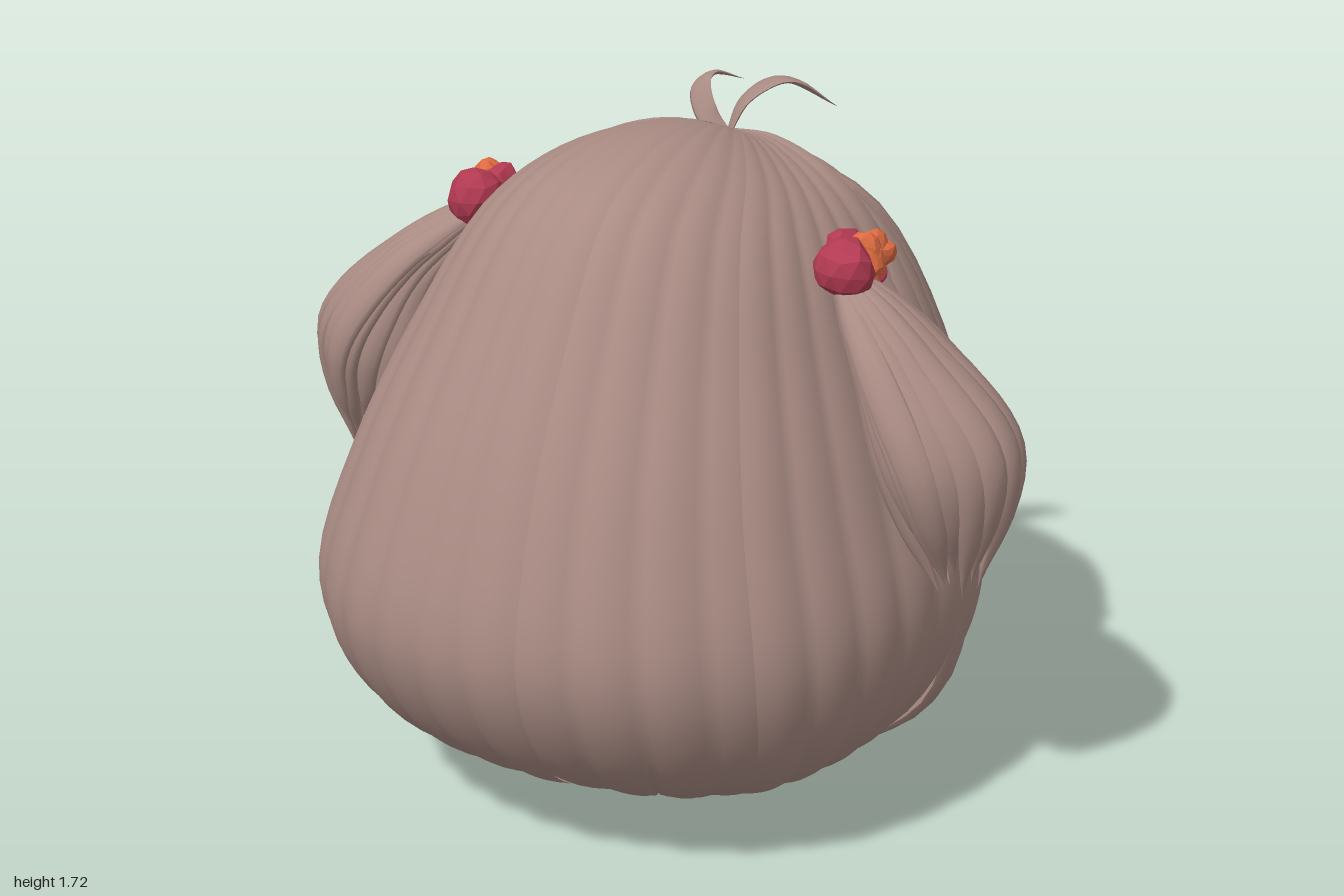
import * as THREE from 'three';

const V = (x, y, z) => new THREE.Vector3(x, y, z);
const curve = pts => new THREE.CatmullRomCurve3(pts.map(p => V(...p)));

// Grid surface from a rule p(u, v)
function sheet(rule, nu, nv) {
  const pos = [], idx = [];
  for (let i = 0; i <= nu; i++) for (let j = 0; j <= nv; j++) pos.push(...rule(i / nu, j / nv).toArray());
  for (let i = 0; i < nu; i++) for (let j = 0; j < nv; j++) {
    const a = i * (nv + 1) + j, b = a + nv + 1;
    idx.push(a, a + 1, b, b, a + 1, b + 1);
  }
  const g = new THREE.BufferGeometry();
  g.setAttribute('position', new THREE.Float32BufferAttribute(pos, 3));
  g.setIndex(idx);
  g.computeVertexNormals();
  return g;
}

// Tapered flat lock of hair along a path, facing away from a centre point
function strand(points, widths, thick, centre) {
  const c = curve(points), n = widths.length - 1;
  return sheet((u, v) => {
    const p = c.getPoint(u), t = c.getTangent(u);
    const k = Math.min(Math.floor(u * n), n - 1);
    const w = THREE.MathUtils.lerp(widths[k], widths[k + 1], u * n - k);
    const out = p.clone().sub(centre);
    out.addScaledVector(t, -out.dot(t)).normalize();
    const side = t.clone().cross(out), a = v * Math.PI * 2;
    const th = thick * Math.min(1, w / 0.06);
    return p.addScaledVector(side, Math.cos(a) * w / 2).addScaledVector(out, Math.sin(a) * th);
  }, 24, 10);
}

// Key curves running from the crown to the hem
const backCurve = curve([[0, 1.61, -0.4], [0, 1.68, -0.2], [0, 1.69, 0.08], [0, 1.6, 0.34], [0, 1.3, 0.575],
  [0, 0.95, 0.76], [0, 0.62, 0.84], [0, 0.38, 0.74], [0, 0.2, 0.53], [0, 0.14, 0.28]]);
const sideCurve = curve([[0, 1.61, -0.4], [0.16, 1.62, -0.33], [0.34, 1.56, -0.25], [0.46, 1.45, -0.2], [0.59, 1.22, -0.15],
  [0.71, 0.95, -0.12], [0.8, 0.64, -0.1], [0.76, 0.4, -0.1], [0.61, 0.2, -0.1], [0.39, 0.14, -0.1]]);
const bangCurve = curve([[0, 1.61, -0.4], [0, 1.53, -0.55], [0, 1.37, -0.68], [0, 1.2, -0.78],
  [0, 1.04, -0.845], [0, 0.93, -0.83], [0, 0.84, -0.77]]);
const bangSideCurve = curve([[0, 1.61, -0.4], [0.3, 1.53, -0.38], [0.5, 1.35, -0.3], [0.62, 1.15, -0.25],
  [0.68, 1, -0.22], [0.67, 0.9, -0.22], [0.63, 0.82, -0.22]]);

// Panel of scalp hair between two angles, scalloped into locks with a ragged hem
function panel(main, side, from, to, { lift = 0, rib = 0.012, jag = 0.08, end = 1, bulge = 0.04 }) {
  const lobes = Math.max(2, Math.round(Math.abs(to - from) / 10));
  return sheet((u, v) => {
    const a = THREE.MathUtils.degToRad(from + (to - from) * u);
    const lobe = Math.abs(Math.sin(u * lobes * Math.PI));
    const t = v * end * (1 - jag * v ** 4 * (1 - lobe) * (1 + 0.4 * Math.sin(u * 40)));
    const m = main.getPoint(t), s = side.getPoint(t), sn = Math.sin(a);
    const p = V(s.x * sn, THREE.MathUtils.lerp(m.y, s.y, sn * sn), s.z + (m.z - s.z) * Math.cos(a));
    const k = 1 + (lift + rib * (lobe - 0.6)) * Math.min(1, v * 3) + bulge * t * 1.3 * Math.sin(2 * a) ** 2;
    return V(p.x * k, 0.8 + (p.y - 0.8) * (1 + (k - 1) * 0.4), -0.1 + (p.z + 0.1) * k);
  }, lobes * 8, 44);
}

export function createModel() {
  const hair = new THREE.MeshStandardMaterial({ color: 0xa98b83, side: THREE.DoubleSide });
  hair.name = 'hairBrown';
  const red = new THREE.MeshStandardMaterial({ color: 0xb23a52, flatShading: true });
  red.name = 'ribbonRed';
  const orange = new THREE.MeshStandardMaterial({ color: 0xdb6a40, flatShading: true });
  orange.name = 'flowerOrange';

  const root = new THREE.Group();
  root.name = 'hairstyle';
  const add = (name, geo, mat, parent = root) => {
    const m = new THREE.Mesh(geo, mat);
    m.name = name;
    parent.add(m);
    return m;
  };

  // Long hair in overlapping panels, with a smooth lining
  [[-104, -48, 0], [-52, 10, 0.012], [8, 52, 0], [48, 104, 0.012]].forEach(([a, b, lift]) =>
    add('longHairPanel', panel(backCurve, sideCurve, a, b, { lift }), hair));
  const lining = panel(backCurve, sideCurve, -100, 100, { rib: 0, jag: 0, end: 0.95 });
  lining.translate(0, -0.8, 0.1).scale(0.95, 0.95, 0.95).translate(0, 0.8, -0.1);
  add('lining', lining, hair);

  // Fringe over the face opening, continued at the temples under the side locks
  add('fringe', panel(bangCurve, bangSideCurve, 66, -66, { rib: 0.016, jag: 0.05, bulge: 0 }), hair);
  for (const [a, b] of [[102, 62], [-62, -102]])
    add('temple', panel(bangCurve, bangSideCurve, a, b, { lift: -0.005, jag: 0, end: 0.7, bulge: 0 }), hair);

  const headCentre = V(0, 0.8, -0.15);
  const lockPaths = [
    [[0.4, 1.46, -0.29], [0.65, 1.1, -0.23], [0.775, 0.7, -0.2], [0.73, 0.32, -0.22], [0.45, 0.01, -0.28]],
    [[0.42, 1.45, -0.34], [0.63, 1.1, -0.32], [0.71, 0.75, -0.31], [0.67, 0.4, -0.33], [0.5, 0.13, -0.38]],
    [[0.41, 1.45, -0.38], [0.61, 1.1, -0.4], [0.68, 0.75, -0.4], [0.61, 0.4, -0.46], [0.26, 0.02, -0.6]],
    [[0.39, 1.45, -0.42], [0.58, 1.1, -0.48], [0.64, 0.75, -0.49], [0.58, 0.4, -0.52], [0.4, 0.1, -0.56]],
    [[0.37, 1.45, -0.46], [0.54, 1.1, -0.54], [0.6, 0.8, -0.55], [0.55, 0.45, -0.56], [0.35, 0.02, -0.6]],
  ];

  for (const s of [1, -1]) {
    const label = s > 0 ? 'left' : 'right';
    const mirror = pts => pts.map(([x, y, z]) => [s * x, y, z]);

    // Side locks framing the face
    lockPaths.forEach((path, i) => add(label + 'SideLock', strand(mirror([[0.02, 1.6, -0.4], ...path]),
      [0.03, 0.13, 0.16, i % 2 ? 0.15 : 0.17, 0.11, 0], 0.022, headCentre), hair));

    // Short wisps curling inward along the lower edge
    for (let i = 0; i < 7; i++) {
      const z = -0.06 - i * 0.055;
      add(label + 'Wisp', strand(mirror([[0.74 - i * 0.017, 0.6, z], [0.68 - i * 0.017, 0.3 + i * 0.012, z],
        [0.5, 0.17 + i * 0.02, z - 0.02], [0.28 + (i % 2) * 0.06, 0.13 + i * 0.025, z - 0.06]]),
      [0.08, 0.1, 0.08, 0], 0.012, headCentre), hair);
    }

    // Side tail: ring of locks swelling around a drooping axis
    const tail = new THREE.Group();
    tail.name = label + 'SideTail';
    root.add(tail);
    const axis = [[0.5, 1.42, -0.06], [0.68, 1.26, -0.025], [0.82, 1.03, -0.025], [0.86, 0.72, -0.03]];
    const spread = [[0.66, 0.75], [0.78, 0.62], [0.98, 0.2], [1, 0]];
    const rx = [0.02, 0.07, 0.155, 0.045], rz = [0.03, 0.14, 0.185, 0.085];
    for (let i = 0; i < 18; i++) {
      const a = i / 18 * Math.PI * 2, drop = 0.03 * Math.sin(i * 2.4) - 0.025 * Math.cos(a * 2);
      const swell = 1 + 0.05 * Math.sin(i * 1.9), reach = Math.cos(a) * Math.sqrt(Math.abs(Math.cos(a)));
      const path = axis.map(([x, y, z], k) => [
        x + reach * rx[k] * spread[k][0],
        y + reach * rx[k] * spread[k][1] + (k === 3 ? drop : 0),
        z + Math.sin(a) * rz[k] * swell]);
      add('tailLock', strand(mirror(path), [0.02, 0.065, 0.085, 0.095, 0.09, 0.07, 0], 0.022, V(s * 0.74, 1.03, -0.02)), hair, tail);
    }

    // Hair tie: crumpled red rosette with an orange flower at its face-side edge
    const tie = new THREE.Group();
    tie.name = label + 'HairTie';
    tie.position.set(s * 0.525, 1.445, -0.06);
    root.add(tie);
    const lump = (name, mat, r, x, y, z, sx, sy, sz, turn) => {
      const m = add(name, new THREE.IcosahedronGeometry(r, 1), mat, tie);
      const p = m.geometry.attributes.position;
      for (let i = 0; i < p.count; i++) {
        const v = V().fromBufferAttribute(p, i);
        v.multiplyScalar(1 + 0.14 * Math.sin(v.x * 90 + turn) * Math.cos(v.y * 70 + v.z * 50));
        p.setXYZ(i, v.x, v.y, v.z);
      }
      m.geometry.computeVertexNormals();
      m.position.set(s * x, y, z);
      m.scale.set(sx, sy, sz);
      m.rotation.set(turn, 0, s * -0.6);
    };
    lump('rosette', red, 0.075, 0, 0, 0.035, 1.05, 0.98, 0.95, 0);
    lump('rosetteTop', red, 0.048, -0.035, 0.03, -0.03, 0.9, 0.85, 1.1, 0.4);
    lump('flowerCore', orange, 0.05, 0.015, 0.008, -0.05, 1, 0.9, 1, 0.2);
    for (let i = 0; i < 6; i++) {
      const a = i / 6 * Math.PI * 2;
      lump('petal', orange, 0.04, 0.022 + 0.01 * Math.cos(a * 2), 0.004 + Math.sin(a) * 0.032,
        -0.054 + Math.cos(a) * 0.036, 1.1, 0.78, 1, a);
    }
    lump('lowerPetal', red, 0.026, 0.02, -0.05, -0.1, 1, 0.6, 1, 0.7);
  }

  // Two small curled tufts at the crown
  add('crownTuft', strand([[0, 1.59, -0.39], [0.03, 1.68, -0.43], [0.1, 1.725, -0.5], [0.2, 1.64, -0.61]],
    [0.03, 0.07, 0.1, 0.07, 0], 0.008, V(0.15, 1.4, -0.5)), hair);
  add('crownTuft', strand([[0, 1.59, -0.39], [-0.06, 1.64, -0.39], [-0.1, 1.7, -0.43], [-0.09, 1.72, -0.48], [-0.03, 1.7, -0.53]],
    [0.03, 0.06, 0.07, 0.05, 0], 0.008, V(0, 1.5, -0.47)), hair);

  return root;
}
